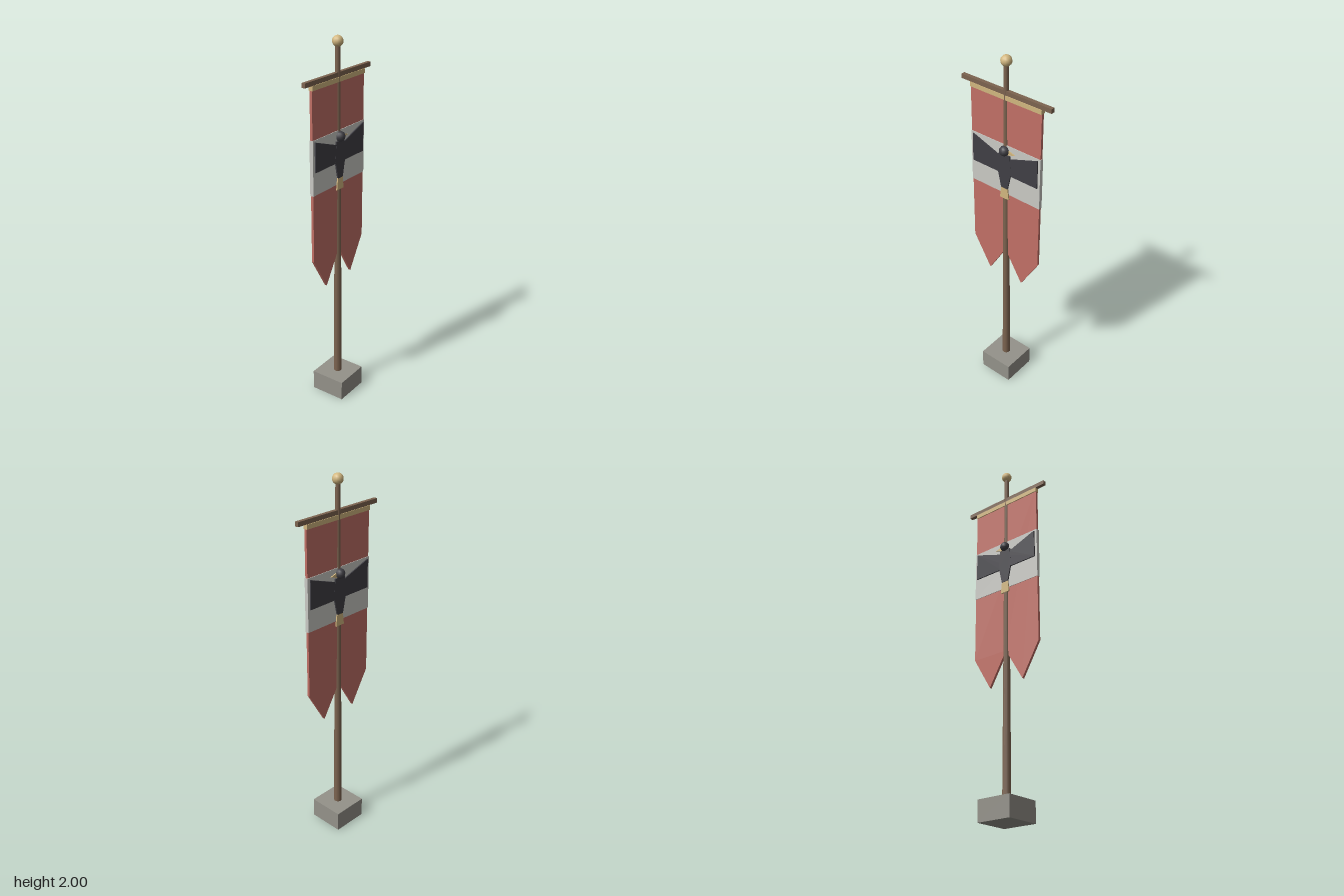
import * as THREE from 'three';

const mat = (name, color) => {
  const m = new THREE.MeshStandardMaterial({ color });
  m.name = name;
  return m;
};

export function createModel() {
  const wood = mat('brown wood', 0x7d6450);
  const stone = mat('grey stone', 0x94928a);
  const red = mat('red cloth', 0xc27066);
  const white = mat('white cloth', 0xcacac5);
  const black = mat('black emblem', 0x403f45);
  const gold = mat('pale gold', 0xd2b780);

  const model = new THREE.Group();
  model.name = 'bannerOnPole';

  const add = (name, geometry, material, x = 0, y = 0, z = 0) => {
    const mesh = new THREE.Mesh(geometry, material);
    mesh.name = name;
    mesh.position.set(x, y, z);
    model.add(mesh);
    return mesh;
  };
  const box = (name, w, h, d, y, material) =>
    add(name, new THREE.BoxGeometry(w, h, d), material, 0, y);
  // Flat outline extruded from z0 to z1
  const plate = (name, points, z0, z1, material) => {
    const shape = new THREE.Shape(points.map(([x, y]) => new THREE.Vector2(x, y)));
    const g = new THREE.ExtrudeGeometry(shape, { depth: z1 - z0, bevelEnabled: false });
    return add(name, g, material, 0, 0, z0);
  };
  // Full outline from its right half, listed top to bottom
  const mirrored = (half) => [...half, ...half.slice().reverse().map(([x, y]) => [-x, y])];

  // Base, tapered pole, finial and crossbar
  box('base', 0.196, 0.11, 0.196, 0.055, stone);
  add('pole', new THREE.CylinderGeometry(0.012, 0.023, 1.95, 10), wood, 0, 0.976);
  add('finial', new THREE.SphereGeometry(0.028, 12, 10), gold, 0, 1.972);
  box('crossbar', 0.54, 0.023, 0.02, 1.813, wood);

  // Swallow-tailed cloth with its trim and pale band
  plate('cloth', [
    [-0.215, 1.802], [-0.215, 0.885], [-0.108, 0.705], [0, 0.885],
    [0.108, 0.705], [0.215, 0.885], [0.215, 1.802],
  ], -0.007, 0.007, red);
  box('topTrim', 0.432, 0.024, 0.024, 1.789, gold);
  box('paleBand', 0.434, 0.285, 0.02, 1.392, white);

  // Bird emblem, repeated on both faces
  const wings = mirrored([[0.03, 1.465], [0.202, 1.525], [0.204, 1.37], [0.03, 1.37]]);
  const body = mirrored([[0.034, 1.482], [0.042, 1.385], [0.02, 1.285]]);
  const tail = mirrored([[0.02, 1.29], [0.028, 1.222]]);
  const beak = [[0.02, 1.512], [0.064, 1.499], [0.02, 1.486]];
  for (const side of [1, -1]) {
    const label = side > 0 ? 'front' : 'back';
    const span = (a, b) => (side > 0 ? [a, b] : [-b, -a]);
    plate(label + 'Wings', wings, ...span(0.01, 0.0165), black);
    plate(label + 'Body', body, ...span(0.01, 0.0172), black);
    plate(label + 'Tail', tail, ...span(0.01, 0.0165), gold);
    plate(label + 'Beak', beak, ...span(0.01, 0.016), gold);
    add(label + 'Head', new THREE.SphereGeometry(0.027, 10, 8), black, 0, 1.503, side * 0.015);
  }
  return model;
}
